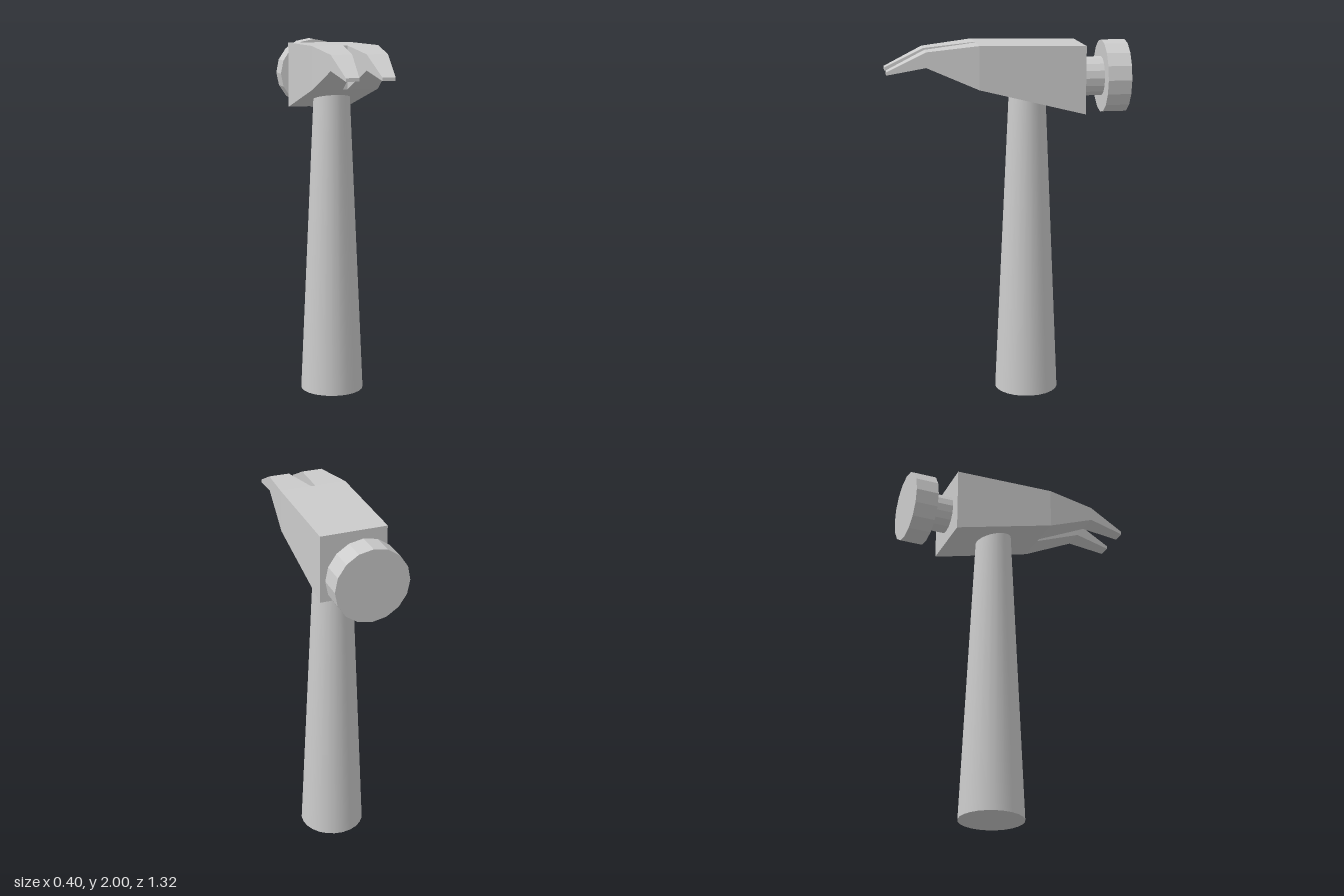
import * as THREE from 'three';

const material = new THREE.MeshStandardMaterial({ color: 0xcccccc, flatShading: true });
const smooth = new THREE.MeshStandardMaterial({ color: 0xcccccc });

// Rectangular sections [x0, x1, y0, y1, z], ordered by rising z, joined into a solid
function loft(sections) {
  const rings = sections.map(([x0, x1, y0, y1, z]) =>
    [[x0, y0, z], [x1, y0, z], [x1, y1, z], [x0, y1, z]]);
  const points = [];
  const quad = (a, b, c, d) => points.push(...a, ...b, ...c, ...a, ...c, ...d);
  for (let k = 0; k < rings.length - 1; k++) {
    for (let i = 0; i < 4; i++) {
      const j = (i + 1) % 4;
      quad(rings[k][i], rings[k][j], rings[k + 1][j], rings[k + 1][i]);
    }
  }
  const last = rings[rings.length - 1];
  quad(...last);
  quad(...[...rings[0]].reverse());
  const geometry = new THREE.BufferGeometry();
  geometry.setAttribute('position', new THREE.Float32BufferAttribute(points, 3));
  geometry.computeVertexNormals();
  return geometry;
}

export function createModel() {
  const group = new THREE.Group();
  const add = (name, geometry, mat = material) => {
    const mesh = new THREE.Mesh(geometry, mat);
    mesh.name = name;
    group.add(mesh);
    return mesh;
  };

  // Tapered handle, its top sunk into the head
  add('handle', new THREE.CylinderGeometry(0.098, 0.18, 1.8, 24), smooth)
    .position.set(0, 0.9, -0.117);

  // Wedge-shaped head
  add('head', loft([
    [-0.182, 0.182, 1.62, 1.99, -0.41],
    [-0.184, 0.184, 1.765, 2, 0.17],
  ]));

  // Pair of bent, tapering claws
  for (const side of [-1, 1]) {
    const section = (inner, outer, y0, y1, z) =>
      [Math.min(side * inner, side * outer), Math.max(side * inner, side * outer), y0, y1, z];
    add(side > 0 ? 'leftClaw' : 'rightClaw', loft([
      section(0.012, 0.184, 1.765, 2, 0.17),
      section(0.039, 0.153, 1.885, 1.968, 0.45),
      section(0.06, 0.13, 1.846, 1.864, 0.66),
    ]));
  }

  // Neck and striking face behind the head
  const disc = (name, radius, z0, z1) => {
    const mesh = add(name, new THREE.CylinderGeometry(radius, radius, z1 - z0, 16));
    mesh.rotation.x = Math.PI / 2;
    mesh.position.set(0, 1.803, (z0 + z1) / 2);
  };
  disc('neck', 0.108, -0.53, -0.4);
  disc('strikingFace', 0.2, -0.66, -0.53);

  return group;
}
